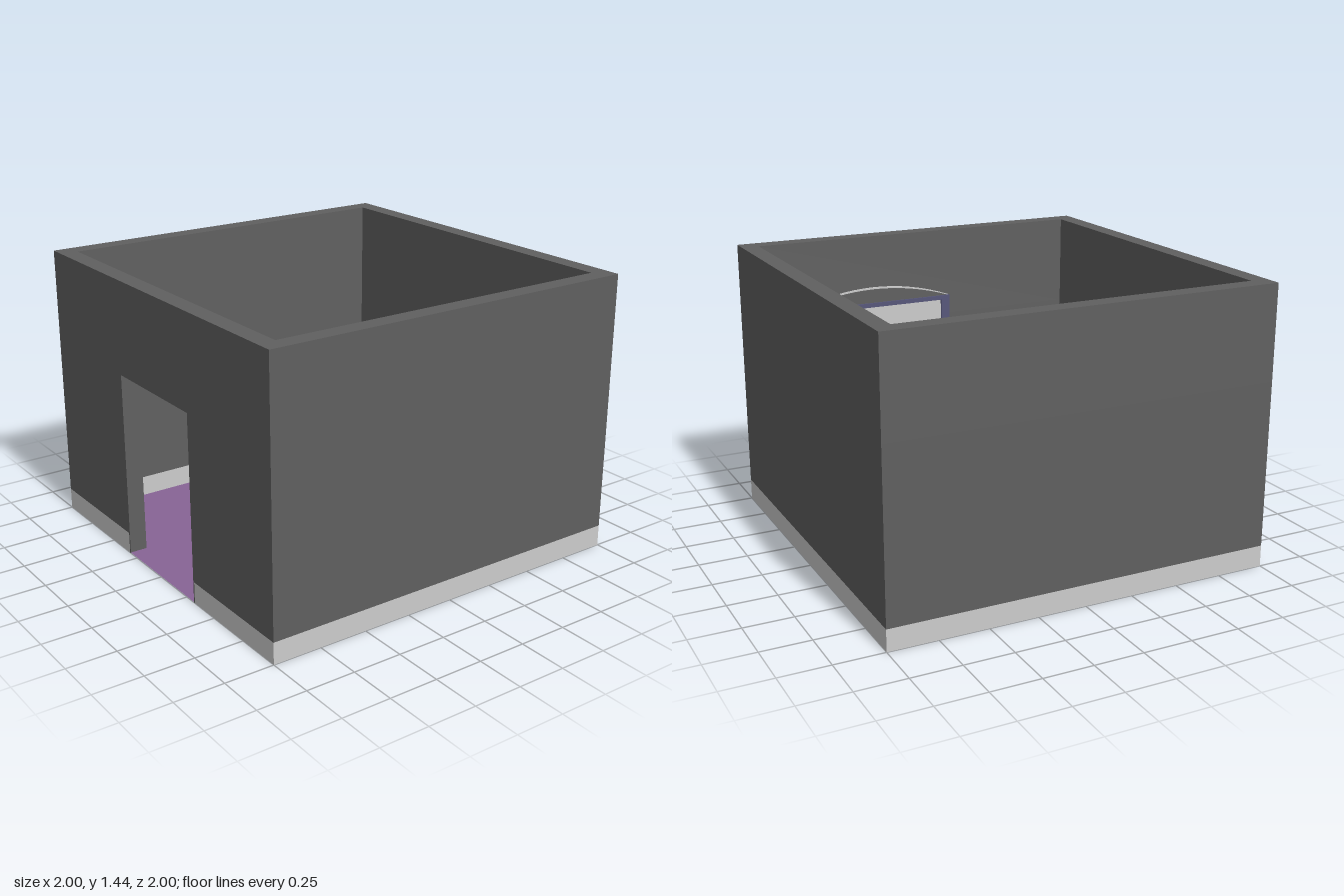
import * as THREE from 'three';

const mat = (name, color, extra = {}) => {
  const m = new THREE.MeshStandardMaterial({ color, ...extra });
  m.name = name;
  return m;
};

export function createModel() {
  const group = new THREE.Group();
  const wall = mat('wall grey', 0x606060);
  const skirting = mat('skirting light grey', 0xcccccc);
  const purple = mat('floor purple', 0x886496, { side: THREE.DoubleSide });
  const tan = mat('cardboard tan', 0xcbaa7a);
  const navy = mat('bag blue', 0x5c627c, { flatShading: true });
  const white = mat('pillow white', 0xd6d6d6, { flatShading: true });
  const frameBlue = mat('frame blue', 0x56567a);

  const add = (name, geo, material, x = 0, y = 0, z = 0) => {
    const m = new THREE.Mesh(geo, material);
    m.name = name;
    m.position.set(x, y, z);
    group.add(m);
    return m;
  };
  const box = (name, w, h, d, material, x, y, z) =>
    add(name, new THREE.BoxGeometry(w, h, d), material, x, y, z);
  const poly = pts => new THREE.Shape(pts.map(p => new THREE.Vector2(...p)));
  // plan shape raised from y0 to y1
  const raise = (shape, y0, y1) =>
    new THREE.ExtrudeGeometry(shape, { depth: y1 - y0, bevelEnabled: false })
      .rotateX(-Math.PI / 2).translate(0, y0, 0);

  const I = 0.91, D = 0.325, doorTop = 0.96, skirtTop = 0.11;

  // Walls: open at the doorway on the -x side, closed above it
  const gapRing = poly([[-1, D], [-1, 1], [1, 1], [1, -1], [-1, -1], [-1, -D],
    [-I, -D], [-I, -I], [I, -I], [I, I], [-I, I], [-I, D]]);
  const ring = poly([[-1, -1], [1, -1], [1, 1], [-1, 1]]);
  ring.holes.push(poly([[-I, -I], [-I, I], [I, I], [I, -I]]));
  add('skirting', raise(gapRing, 0, skirtTop), [wall, skirting]);
  add('lowerWalls', raise(gapRing, skirtTop, doorTop), wall);
  add('upperWalls', raise(ring, doorTop, 1.44), wall);

  // Doorway lining
  for (const s of [-1, 1])
    box('doorJamb', 0.09, doorTop, 0.008, wall, -0.955, doorTop / 2, s * (D - 0.004));

  // Floor, running out through the doorway
  const floor = poly([[-1, -D], [-I, -D], [-I, -I], [I, -I], [I, I], [-I, I], [-I, D], [-1, D]]);
  add('floor', new THREE.ShapeGeometry(floor).rotateX(-Math.PI / 2).translate(0, 0.003, 0), purple);

  // Stacked cardboard boxes: width, depth, x, y, z, turn
  [[0.31, 0.32, 0.703, 0.15, -0.637, 0],
    [0.305, 0.295, 0.703, 0.15, -0.325, 0],
    [0.31, 0.315, 0.68, 0.45, -0.683, 0.3],
    [0.3, 0.297, 0.739, 0.45, -0.315, -0.08],
  ].forEach(([w, d, x, y, z, turn]) => {
    box('cardboardBox', w, 0.3, d, tan, x, y, z).rotation.y = turn;
  });

  // Sleeping bag: cross-sections along x as [x, half width, bottom, top]
  const stations = [[-0.32, 0, 0.07, 0.07], [-0.315, 0.08, 0.03, 0.11], [-0.3, 0.145, 0.01, 0.13],
    [-0.23, 0.205, 0.005, 0.155], [0.58, 0.218, 0.005, 0.19], [0.75, 0.218, 0.005, 0.19],
    [0.83, 0.155, 0.01, 0.17], [0.855, 0.07, 0.04, 0.13], [0.86, 0, 0.08, 0.08]];
  const section = [[1, 0.5], [0.76, 0.9], [0, 1], [-0.76, 0.9], [-1, 0.5], [-0.8, 0], [0.8, 0]];
  const n = section.length, pos = [], idx = [];
  stations.forEach(([x, w, y0, y1]) =>
    section.forEach(([a, b]) => pos.push(x, y0 + (y1 - y0) * b, 0.66 + a * w)));
  for (let i = 0; i < stations.length - 1; i++)
    for (let j = 0; j < n; j++) {
      const a = i * n + j, b = i * n + (j + 1) % n;
      idx.push(a, a + n, b, b, a + n, b + n);
    }
  const bag = new THREE.BufferGeometry();
  bag.setAttribute('position', new THREE.Float32BufferAttribute(pos, 3));
  bag.setIndex(idx);
  bag.computeVertexNormals();
  add('sleepingBag', bag, navy);

  // Pillow on the head end
  const profile = [[0, -0.05], [0.8, -0.04], [1, 0], [0.93, 0.025], [0.75, 0.045], [0, 0.06]]
    .map(p => new THREE.Vector2(...p));
  add('pillow', new THREE.LatheGeometry(profile, 10).scale(0.113, 1, 0.17), white, 0.745, 0.2, 0.66);

  // Wall mirror on the inside of the front wall, with an arched top
  const cx = 0.27, W = 0.9, y0 = 0.68, y1 = 1.07;
  const arch = (name, half, rise, depth, material, z) => {
    const s = new THREE.Shape();
    s.moveTo(-half, 0);
    s.lineTo(half, 0);
    s.quadraticCurveTo(0, rise * 2, -half, 0);
    add(name, new THREE.ExtrudeGeometry(s, { depth, bevelEnabled: false, curveSegments: 16 }),
      material, cx, y1, z);
  };
  arch('mirrorArchRim', W / 2, 0.085, 0.008, skirting, 0.902);
  arch('mirrorArch', W / 2 - 0.01, 0.075, 0.006, wall, 0.897);
  box('mirrorPanel', W - 0.08, y1 - y0 - 0.04, 0.012, skirting, cx, (y0 + y1) / 2, 0.904);
  for (const s of [-1, 1])
    box('mirrorSide', 0.05, y1 - y0, 0.022, frameBlue, cx + s * (W / 2 - 0.025), (y0 + y1) / 2, 0.899);
  for (const y of [y0 + 0.012, y1 - 0.012])
    box('mirrorRail', W - 0.1, 0.024, 0.022, frameBlue, cx, y, 0.899);

  return group;
}
